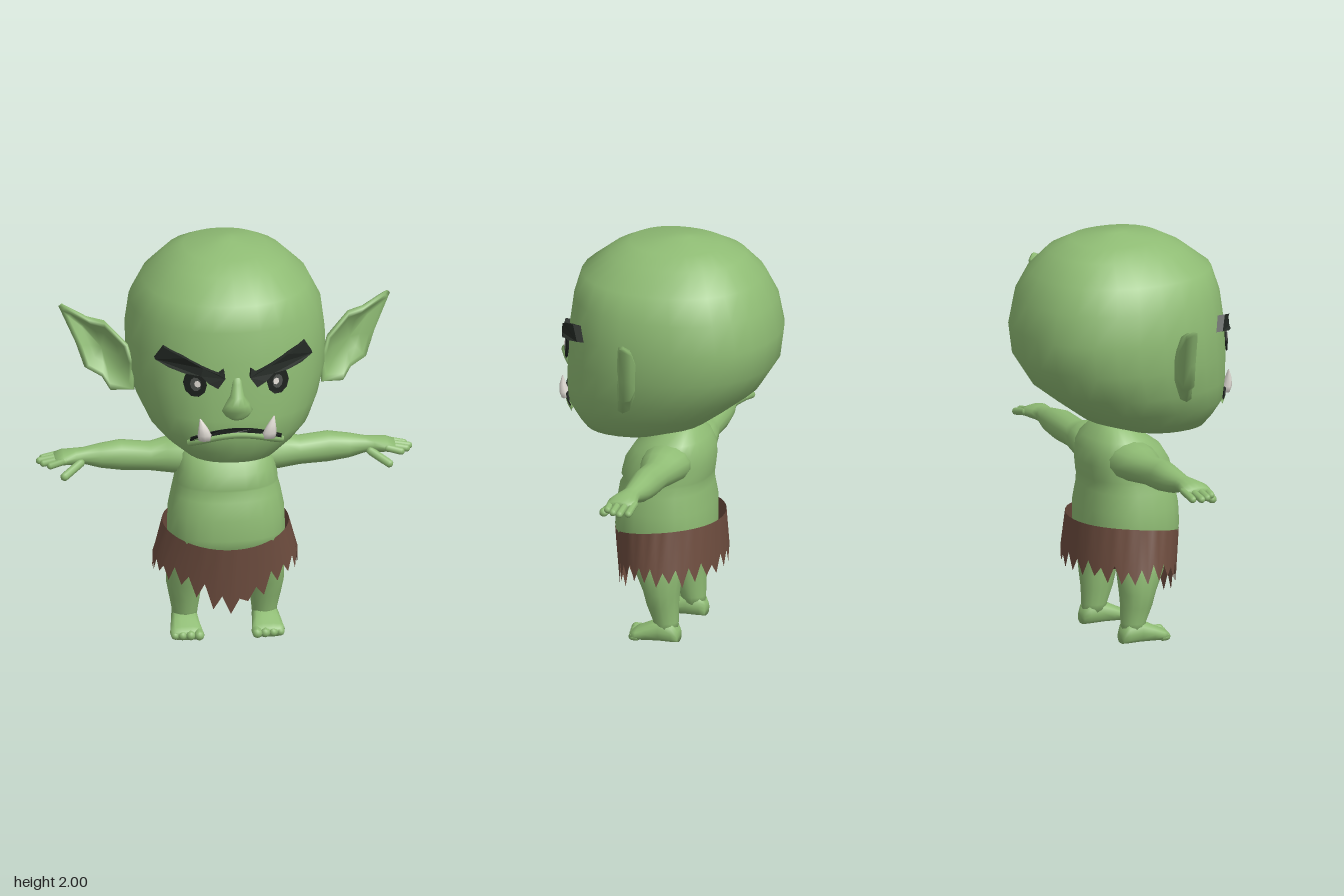
import * as THREE from 'three';
import { mergeVertices } from 'three/addons/utils/BufferGeometryUtils.js';

const V = (x, y, z) => new THREE.Vector3(x, y, z);
const paint = (name, color, side = THREE.FrontSide) => {
  const m = new THREE.MeshStandardMaterial({ color, side });
  m.name = name;
  return m;
};

// Closed smooth surface through rings of equal point count
function skin(rings) {
  const n = rings[0].length, pos = [], idx = [];
  rings.forEach(r => r.forEach(p => pos.push(p.x, p.y, p.z)));
  for (let i = 0; i < rings.length - 1; i++) {
    for (let j = 0; j < n; j++) {
      const k = (j + 1) % n, a = i * n + j, b = i * n + k;
      idx.push(a, b, b + n, a, b + n, a + n);
    }
  }
  [0, rings.length - 1].forEach(i => {
    const c = rings[i].reduce((s, p) => s.add(p), V(0, 0, 0)).divideScalar(n);
    const m = pos.length / 3;
    pos.push(c.x, c.y, c.z);
    for (let j = 0; j < n; j++) {
      const a = i * n + j, b = i * n + (j + 1) % n;
      if (i === 0) idx.push(m, b, a); else idx.push(m, a, b);
    }
  });
  const g = new THREE.BufferGeometry();
  g.setAttribute('position', new THREE.Float32BufferAttribute(pos, 3));
  g.setIndex(idx);
  g.computeVertexNormals();
  return g;
}

// Superellipse sections [x, y, z, radiusU, radiusV] stacked along U x V
function loft(sections, U, W, seg = 16, e = 2) {
  const pw = t => Math.sign(t) * Math.abs(t) ** (2 / e);
  return skin(sections.map(([x, y, z, a, b]) => Array.from({ length: seg }, (_, j) => {
    const t = j / seg * Math.PI * 2;
    return V(x, y, z).addScaledVector(U, a * pw(Math.cos(t))).addScaledVector(W, b * pw(Math.sin(t)));
  })));
}
const X = V(1, 0, 0), Y = V(0, 1, 0), Z = V(0, 0, 1);
// Upright body from rows [y, front z, back z, half width]
const upright = (rows, seg, e) =>
  loft(rows.map(([y, f, b, w]) => [0, y, (f + b) / 2, (f - b) / 2, w]), Z, X, seg, e);

function capsule(a, b, r) {
  const d = b.clone().sub(a);
  return new THREE.CapsuleGeometry(r, d.length(), 4, 8)
    .applyQuaternion(new THREE.Quaternion().setFromUnitVectors(Y, d.clone().normalize()))
    .translate((a.x + b.x) / 2, (a.y + b.y) / 2, (a.z + b.z) / 2);
}

function mirror(geo) {
  const g = geo.clone().scale(-1, 1, 1), i = g.index.array;
  for (let k = 0; k < i.length; k += 3) [i[k], i[k + 1]] = [i[k + 1], i[k]];
  return g;
}

const HEAD = [
  [0.99, 0.32, 0.05, 0.1], [1.02, 0.41, -0.03, 0.22], [1.08, 0.445, -0.2, 0.31],
  [1.16, 0.485, -0.31, 0.385], [1.26, 0.49, -0.44, 0.435], [1.4, 0.485, -0.53, 0.475],
  [1.55, 0.475, -0.55, 0.48], [1.7, 0.455, -0.52, 0.46], [1.82, 0.42, -0.46, 0.4],
  [1.92, 0.29, -0.37, 0.29], [1.97, 0.19, -0.26, 0.2], [2.0, 0, -0.1, 0.04],
];
// Front surface of the head at (x, y)
function headZ(x, y) {
  let i = 0;
  while (i < HEAD.length - 2 && HEAD[i + 1][0] < y) i++;
  const t = (y - HEAD[i][0]) / (HEAD[i + 1][0] - HEAD[i][0]);
  const [f, b, w] = [1, 2, 3].map(k => HEAD[i][k] + (HEAD[i + 1][k] - HEAD[i][k]) * t);
  return (f + b) / 2 + (f - b) / 2 * Math.max(0, 1 - Math.abs(x / w) ** 2.2) ** (1 / 2.2);
}
// Plate cut from an outline and wrapped onto the face
function plate(points, lift, depth) {
  const shape = new THREE.Shape(points.map(p => new THREE.Vector2(...p)));
  const g = new THREE.ExtrudeGeometry(shape, { depth, bevelEnabled: false });
  const p = g.attributes.position;
  for (let i = 0; i < p.count; i++) p.setZ(i, p.getZ(i) + lift + headZ(p.getX(i), p.getY(i)));
  g.computeVertexNormals();
  return mergeVertices(g);
}
const oval = (cx, cy, rx, ry, n = 10) => Array.from({ length: n }, (_, i) =>
  [cx + rx * Math.cos(i / n * 2 * Math.PI), cy + ry * Math.sin(i / n * 2 * Math.PI)]);

function earGeometry() {
  const outline = [[0.45, 1.29], [0.56, 1.275], [0.6, 1.34], [0.68, 1.38], [0.72, 1.5], [0.8, 1.68],
    [0.785, 1.695], [0.67, 1.642], [0.59, 1.63], [0.48, 1.52], [0.45, 1.42]];
  const layers = [[0.5, -0.06], [0.9, -0.035], [1, 0], [0.94, 0.025], [0.8, 0.015], [0.5, -0.03]];
  return skin(layers.map(([s, dz]) => outline.map(([x, y]) => {
    const px = 0.58 + (x - 0.58) * s;
    return V(px, 1.47 + (y - 1.47) * s, 0.07 - 0.4 * (px - 0.48) + dz);
  })));
}

// Flared cloth with a ragged hem, longest at the front
function skirtGeometry() {
  let seed = 7;
  const rnd = () => (seed = (seed * 16807) % 2147483647) / 2147483647;
  const n = 52, pos = [], idx = [];
  for (let j = 0; j < n; j++) {
    const a = j / n * Math.PI * 2, c = Math.cos(a), s = Math.sin(a);
    const tip = 0.31 - 0.14 * Math.max(0, c) ** 6 + (j ? rnd() * 0.04 : 0);
    const hem = tip + (j % 2 ? 0.07 : 0);
    pos.push(0.35 * s, hem, -0.025 + 0.25 * c, 0.305 * s, 0.575 - 0.04 * c - 0.025 * c * c, -0.005 + 0.262 * c);
    const k = (j + 1) % n;
    idx.push(2 * j, 2 * k, 2 * k + 1, 2 * j, 2 * k + 1, 2 * j + 1);
  }
  const g = new THREE.BufferGeometry();
  g.setAttribute('position', new THREE.Float32BufferAttribute(pos, 3));
  g.setIndex(idx);
  g.computeVertexNormals();
  return g;
}

export function createModel() {
  const root = new THREE.Group();
  root.name = 'goblin';
  const green = paint('green skin', 0x8fbc74), brown = paint('brown cloth', 0x6e4d3f, THREE.DoubleSide);
  const dark = paint('dark hair', 0x252b26), black = paint('black eye', 0x1c211d);
  const grey = paint('grey iris', 0x4c504c), ivory = paint('ivory', 0xe2ddd6);
  const add = (name, geo, mat) => {
    const m = new THREE.Mesh(geo, mat);
    m.name = name;
    root.add(m);
  };
  const pair = (name, geo, mat) => {
    add(name + 'Left', geo, mat);
    add(name + 'Right', mirror(geo), mat);
  };

  // Head and face
  add('head', upright(HEAD, 28, 2.2), green);
  pair('ear', earGeometry(), green);
  add('nose', loft([[0, 1.275, 0.49, 0.02, 0.03], [0, 1.29, 0.49, 0.03, 0.055], [0, 1.32, 0.49, 0.042, 0.075],
    [0, 1.355, 0.49, 0.06, 0.058], [0, 1.39, 0.48, 0.045, 0.035], [0, 1.45, 0.475, 0.02, 0.025],
    [0, 1.49, 0.465, 0.01, 0.02]], Z, X, 12), green);
  pair('eyebrow', plate([[0.38, 1.54], [0.34, 1.61], [0.25, 1.58], [0.165, 1.54], [0.09, 1.51], [0.065, 1.53],
    [0.06, 1.49], [0.095, 1.44], [0.14, 1.465], [0.175, 1.5], [0.25, 1.505], [0.32, 1.52]], -0.02, 0.055), dark);
  pair('eye', plate(oval(0.2, 1.45, 0.055, 0.065), 0.004, 0.008), black);
  pair('iris', plate(oval(0.198, 1.45, 0.026, 0.034), 0.013, 0.003), grey);
  pair('eyeGlint', plate(oval(0.19, 1.453, 0.015, 0.016, 8), 0.017, 0.003), ivory);

  // Mouth, lower lip and tusks
  const arc = x => 1.23 - 1.25 * x * x;
  const xs = Array.from({ length: 13 }, (_, i) => -0.22 + i * 0.44 / 12);
  add('mouth', plate([...xs.map(x => [x, arc(x) - 0.022]), ...xs.slice().reverse().map(x => [x, arc(x)])],
    0.004, 0.009), black);
  const lip = new THREE.CatmullRomCurve3(xs.map(x => V(x, arc(x) - 0.038, headZ(x, arc(x) - 0.038) - 0.005)));
  add('lowerLip', new THREE.TubeGeometry(lip, 24, 0.02, 8), green);
  pair('tusk', loft([[0.155, 1.165, 0.475, 0.018, 0.03], [0.157, 1.195, 0.482, 0.022, 0.034],
    [0.165, 1.235, 0.487, 0.014, 0.022], [0.178, 1.28, 0.482, 0.002, 0.003]], Z, X, 8), ivory);

  // Torso with a chest ledge
  add('torso', upright([[0.45, 0.24, -0.22, 0.27], [0.55, 0.25, -0.22, 0.285], [0.65, 0.245, -0.22, 0.28],
    [0.74, 0.23, -0.205, 0.262], [0.785, 0.205, -0.205, 0.25], [0.8, 0.222, -0.21, 0.25],
    [0.87, 0.205, -0.22, 0.24], [0.94, 0.16, -0.215, 0.23], [0.99, 0.09, -0.19, 0.2],
    [1.05, 0.02, -0.15, 0.12], [1.07, -0.03, -0.11, 0.05]], 24, 2.3), green);

  // Arms and hands
  pair('arm', loft([[0.1, 0.9, -0.04, 0.09, 0.13], [0.2, 0.9, -0.05, 0.095, 0.12], [0.28, 0.9, -0.05, 0.085, 0.1],
    [0.36, 0.895, -0.05, 0.07, 0.075], [0.5, 0.905, -0.055, 0.075, 0.072], [0.6, 0.905, -0.055, 0.06, 0.06],
    [0.68, 0.91, -0.05, 0.04, 0.045], [0.72, 0.91, -0.045, 0.038, 0.055], [0.78, 0.908, -0.045, 0.034, 0.073],
    [0.82, 0.9, -0.045, 0.024, 0.07]], Y, Z, 14), green);
  [0.86, 0.89, 0.905, 0.885].forEach((tip, i) => {
    const z = 0.012 - i * 0.038;
    pair('finger' + (i + 1), capsule(V(0.78, 0.907, z), V(tip - 0.015, 0.887, z), 0.018), green);
  });
  pair('thumb', capsule(V(0.7, 0.89, 0), V(0.782, 0.845, 0.055), 0.021), green);

  // Skirt and pelvis
  add('skirt', skirtGeometry(), brown);
  add('pelvis', upright([[0.34, 0.08, -0.12, 0.12], [0.38, 0.17, -0.18, 0.24], [0.47, 0.235, -0.215, 0.275],
    [0.5, 0.22, -0.2, 0.26]], 20, 2.3), brown);

  // Legs, feet and toes
  pair('leg', loft([[0.195, 0.05, -0.05, 0.06, 0.06], [0.192, 0.1, -0.05, 0.062, 0.062],
    [0.195, 0.18, -0.035, 0.078, 0.075], [0.197, 0.25, -0.03, 0.09, 0.087], [0.195, 0.35, -0.015, 0.12, 0.09],
    [0.17, 0.45, -0.01, 0.14, 0.1]], Z, X, 14), green);
  pair('foot', loft([[0.195, 0.03, -0.118, 0.035, 0.03], [0.195, 0.05, -0.095, 0.058, 0.05],
    [0.195, 0.055, -0.03, 0.065, 0.055], [0.197, 0.042, 0.03, 0.072, 0.042], [0.197, 0.029, 0.08, 0.08, 0.029],
    [0.197, 0.022, 0.11, 0.074, 0.022]], X, Y, 14, 2.6), green);
  [0.14, 0.18, 0.219, 0.254].forEach((x, i) => {
    const r = 0.025 - i * 0.0015;
    pair('toe' + (i + 1), capsule(V(x, r, 0.08), V(x, r, 0.118 - i * 0.007), r), green);
  });
  return root;
}
